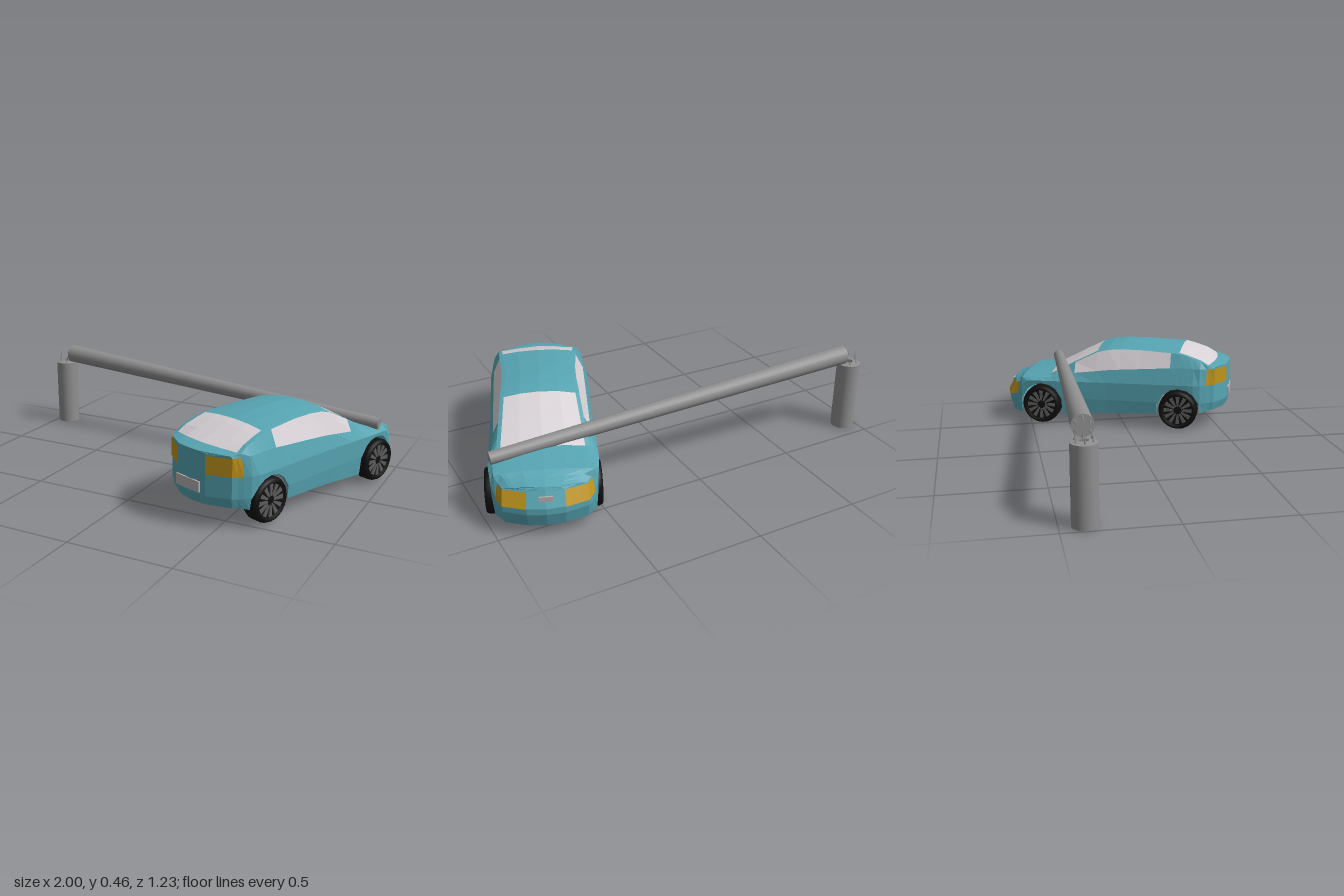
import * as THREE from 'three';

const mat = (name, color, flat = false) => {
  const m = new THREE.MeshStandardMaterial({ color, side: THREE.DoubleSide, flatShading: flat });
  m.name = name;
  return m;
};

// Linear lookup in a list of [position, value] pairs
function look(table, u) {
  if (u <= table[0][0]) return table[0][1];
  for (let i = 1; i < table.length; i++) {
    const [a, va] = table[i - 1], [b, vb] = table[i];
    if (u <= b) return va + (vb - va) * (u - a) / (b - a);
  }
  return table[table.length - 1][1];
}

// Car outline along its length (negative = tail, positive = nose)
const TAIL = -0.632, NOSE = 0.625, REAR_AXLE = -0.373, FRONT_AXLE = 0.386, ARCH = 0.117;
const sillY = [[-0.6, 0.105], [-0.5, 0.095], [-0.25, 0.083], [0, 0.076], [0.27, 0.058], [0.6, 0.055]];
const waistW = [[-0.632, 0.19], [-0.56, 0.222], [-0.45, 0.248], [0, 0.24], [0.4, 0.243], [0.52, 0.228], [0.625, 0.185]];
const waistY = [[-0.6, 0.25], [-0.5, 0.25], [0.46, 0.243], [0.56, 0.16], [0.625, 0.15]];
const beltW = [[-0.632, 0.19], [-0.5, 0.224], [-0.34, 0.223], [0.2, 0.22], [0.34, 0.226], [0.5, 0.215], [0.625, 0.18]];
const beltY = [[-0.632, 0.335], [-0.36, 0.34], [0, 0.315], [0.2, 0.29], [0.34, 0.263], [0.5, 0.255], [0.56, 0.225], [0.625, 0.215]];
const roofW = [[-0.632, 0.182], [-0.56, 0.205], [-0.385, 0.193], [-0.1, 0.173], [0.1, 0.183], [0.34, 0.205], [0.5, 0.185], [0.625, 0.15]];
const roofY = [[-0.632, 0.345], [-0.56, 0.353], [-0.385, 0.41], [-0.1, 0.425], [0.04, 0.415], [0.1, 0.395], [0.34, 0.272], [0.5, 0.258], [0.625, 0.225]];
const topY = [[-0.632, 0.352], [-0.565, 0.362], [-0.385, 0.427], [-0.2, 0.442], [-0.08, 0.447], [0.04, 0.437], [0.1, 0.42], [0.34, 0.29], [0.5, 0.268], [0.625, 0.235]];

// Half cross-section, sill to centre line; sills rise over the wheels
function section(u) {
  const d = Math.abs(u - (u < 0 ? REAR_AXLE : FRONT_AXLE));
  const arch = d < ARCH - 0.001 ? 0.109 + Math.sqrt(ARCH * ARCH - d * d) : 0;
  const sill = Math.max(look(sillY, u), arch);
  const low = Math.max(u > 0.52 ? 0.12 : 0.15, sill + 0.004);
  const w = look(waistW, u), rw = look(roofW, u), ry = look(roofY, u), ty = look(topY, u);
  return [
    [w * 0.96, sill], [w * 0.995, low], [w, Math.max(look(waistY, u), low + 0.004)],
    [look(beltW, u), look(beltY, u)], [rw, ry],
    [rw - 0.018, ry + (ty - ry) * 0.2], [rw * 0.5, ry + (ty - ry) * 0.75], [0, ty],
  ];
}

// Curve the tail and nose in plan; rake the nose and tuck both bumpers in at the bottom
function place(x, y, u) {
  const e = Math.max(0, Math.abs(u) - 0.5) / ((u < 0 ? -TAIL : NOSE) - 0.5);
  const bow = e * (x / 0.22) ** 2;
  if (u > 0) return [x, y, u - 0.07 * bow - e * (0.5 * Math.max(0, y - 0.15) + 0.3 * Math.max(0, 0.12 - y))];
  return [x, y, u + 0.095 * bow + 0.35 * e * Math.max(0, 0.15 - y)];
}

function buildBody(mats) {
  const arch = [-ARCH, -0.113, -0.08, -0.045, 0, 0.045, 0.08, 0.113, ARCH];
  const us = [TAIL, -0.6, -0.565, ...arch.map(a => a + REAR_AXLE), -0.16, -0.05, 0.02, 0.08, 0.2,
    ...arch.map(a => a + FRONT_AXLE), 0.56, 0.6, NOSE];
  const faces = { bodyShell: [], windows: [], lamps: [] };
  const push = (part, a, b, c, d) => faces[part].push(...a, ...b, ...c, ...a, ...c, ...d);
  // Lamps sit slightly proud of the painted shell behind them
  const quad = (part, ...c) => {
    push(part === 'lamps' ? 'bodyShell' : part, ...c);
    if (part === 'lamps') push(part, ...c.map(([x, y, z]) => [x * 1.012, y, z * 1.006]));
  };

  // Skin between neighbouring sections, mirrored left and right
  for (let s = 0; s < us.length - 1; s++) {
    const u0 = us[s], u1 = us[s + 1], um = (u0 + u1) / 2;
    const p = section(u0), q = section(u1);
    for (let i = 0; i < p.length - 1; i++) {
      let part = 'bodyShell';
      if (i === 3 && um > -0.34 && um < 0.2) part = 'windows';
      if (i >= 5 && ((um > 0.08 && um < 0.34) || (um > -0.565 && um < -0.373))) part = 'windows';
      if (i === 2 && (um > 0.56 || um < -0.565)) part = 'lamps';
      for (const m of [1, -1]) {
        const a = place(m * p[i][0], p[i][1], u0), b = place(m * p[i + 1][0], p[i + 1][1], u0);
        const c = place(m * q[i + 1][0], q[i + 1][1], u1), d = place(m * q[i][0], q[i][1], u1);
        if (m > 0) quad(part, a, b, c, d); else quad(part, d, c, b, a);
      }
    }
  }
  // Tail and nose panels with wrap-around lamps
  const fs = [-1, -0.45, 0, 0.45, 1];
  for (const u of [TAIL, NOSE]) {
    const p = section(u);
    for (let i = 0; i < p.length - 1; i++) for (let j = 0; j < 4; j++) {
      const at = (f, k) => place(f * p[k][0], p[k][1], u);
      const c = [at(fs[j], i), at(fs[j + 1], i), at(fs[j + 1], i + 1), at(fs[j], i + 1)];
      if (u < 0) c.reverse();
      quad(i === 2 && (j === 0 || j === 3) ? 'lamps' : 'bodyShell', ...c);
    }
  }
  const group = new THREE.Group();
  group.name = 'body';
  for (const name in faces) {
    const g = new THREE.BufferGeometry();
    g.setAttribute('position', new THREE.Float32BufferAttribute(faces[name], 3));
    g.computeVertexNormals();
    const mesh = new THREE.Mesh(g, mats[name]);
    mesh.name = name;
    group.add(mesh);
  }
  return group;
}

// Wheel with its outer face towards +x
function buildWheel(tyreMat, rimMat) {
  const wheel = new THREE.Group();
  wheel.name = 'wheel';
  const profile = [[0, -0.035], [0.08, -0.045], [0.098, -0.042], [0.105, -0.028], [0.105, 0.024],
    [0.098, 0.038], [0.082, 0.04], [0.078, 0.028], [0, 0.028]].map(p => new THREE.Vector2(...p));
  const tyre = new THREE.Mesh(new THREE.LatheGeometry(profile, 24), tyreMat);
  tyre.name = 'tyre';
  tyre.rotation.z = -Math.PI / 2;
  wheel.add(tyre);
  const bladeShape = new THREE.Shape([[-0.004, 0.022], [0.004, 0.022], [0.0105, 0.076], [-0.0105, 0.076]]
    .map(p => new THREE.Vector2(...p)));
  const blade = new THREE.ExtrudeGeometry(bladeShape, { depth: 0.006, bevelEnabled: false });
  blade.rotateY(Math.PI / 2);
  for (let i = 0; i < 12; i++) {
    const spoke = new THREE.Mesh(blade, rimMat);
    spoke.name = 'spoke';
    spoke.position.x = 0.029;
    spoke.rotation.x = i * Math.PI / 6;
    wheel.add(spoke);
  }
  return wheel;
}

// Tapered tube between two points
function rod(a, b, ra, rb, material, name, sides = 20) {
  const dir = b.clone().sub(a);
  const mesh = new THREE.Mesh(new THREE.CylinderGeometry(rb, ra, dir.length(), sides), material);
  mesh.name = name;
  mesh.position.copy(a).addScaledVector(dir, 0.5);
  mesh.quaternion.setFromUnitVectors(new THREE.Vector3(0, 1, 0), dir.normalize());
  return mesh;
}

export function createModel() {
  const V = (x, y, z) => new THREE.Vector3(x, y, z);
  const paint = mat('teal paint', 0x57a5b3, true), glass = mat('pale glass', 0xd8d2d6, true);
  const lamp = mat('amber lamp', 0xc0951c, true), steel = mat('grey steel', 0x8f8f8f);
  const rubber = mat('black rubber', 0x101010), rim = mat('dark grey rim', 0x5c5c5c);
  const plateMat = mat('light grey plate', 0xb4b0b2);
  const model = new THREE.Group();
  model.name = 'carAndBrokenPole';

  // Car, nose pointing away and slightly to +x
  const car = new THREE.Group();
  car.name = 'car';
  car.position.set(0.587, 0, 0);
  car.rotation.y = THREE.MathUtils.degToRad(159.5);
  car.add(buildBody({ bodyShell: paint, windows: glass, lamps: lamp }));
  for (const [x, z] of [[0.21, REAR_AXLE], [-0.21, REAR_AXLE], [0.212, FRONT_AXLE], [-0.222, FRONT_AXLE]]) {
    const wheel = buildWheel(rubber, rim);
    wheel.position.set(x, 0.11, z);
    if (x < 0) wheel.rotation.y = Math.PI;
    car.add(wheel);
  }
  // Number plate at the tail and small badge plate on the nose
  const panel = (name, w, h, x, y, z, m) => {
    const p = new THREE.Mesh(new THREE.BoxGeometry(w, h, 0.008), m);
    p.name = name;
    p.position.set(x, y, z);
    car.add(p);
  };
  panel('rearPlate', 0.145, 0.05, 0.01, 0.188, TAIL + 0.001, plateMat);
  panel('frontPlate', 0.06, 0.024, 0, 0.19, 0.609, plateMat);
  model.add(car);

  // Hollow pole stump with a torn rim bent inwards and a few standing spikes
  const stump = new THREE.Group();
  stump.name = 'poleStump';
  stump.position.set(-0.94, 0, -0.39);
  const tube = new THREE.Mesh(new THREE.CylinderGeometry(0.058, 0.058, 0.355, 20, 1, true), steel);
  tube.name = 'stumpTube';
  tube.position.y = 0.1775;
  const rimRing = new THREE.Mesh(new THREE.CylinderGeometry(0.02, 0.058, 0.007, 20, 1, true), steel);
  rimRing.name = 'tornRim';
  rimRing.position.y = 0.3585;
  stump.add(tube, rimRing);
  for (let i = 0; i < 6; i++) {
    const a = i * Math.PI / 3, c = Math.cos(a), s = Math.sin(a);
    stump.add(rod(V(c * 0.042, 0.355, s * 0.042), V(c * 0.035, 0.38 + 0.01 * (i % 4), s * 0.035), 0.004, 0.001, steel, 'spike', 4));
  }
  model.add(stump);

  // Fallen pole resting across the bonnet, torn at its thick end
  const base = V(-0.895, 0.408, -0.388), tip = V(0.947, 0.285, -0.3);
  model.add(rod(base, tip, 0.048, 0.029, steel, 'fallenPole'));
  for (let i = 0; i < 6; i++) {
    const a = i * Math.PI / 3, y = Math.cos(a), z = Math.sin(a);
    model.add(rod(V(-0.89, 0.408 + y * 0.038, -0.388 + z * 0.038),
      V(-0.91 - 0.007 * (i % 3), 0.4 + y * 0.03, -0.388 + z * 0.03), 0.006, 0.001, steel, 'poleSplinter', 4));
  }
  return model;
}
